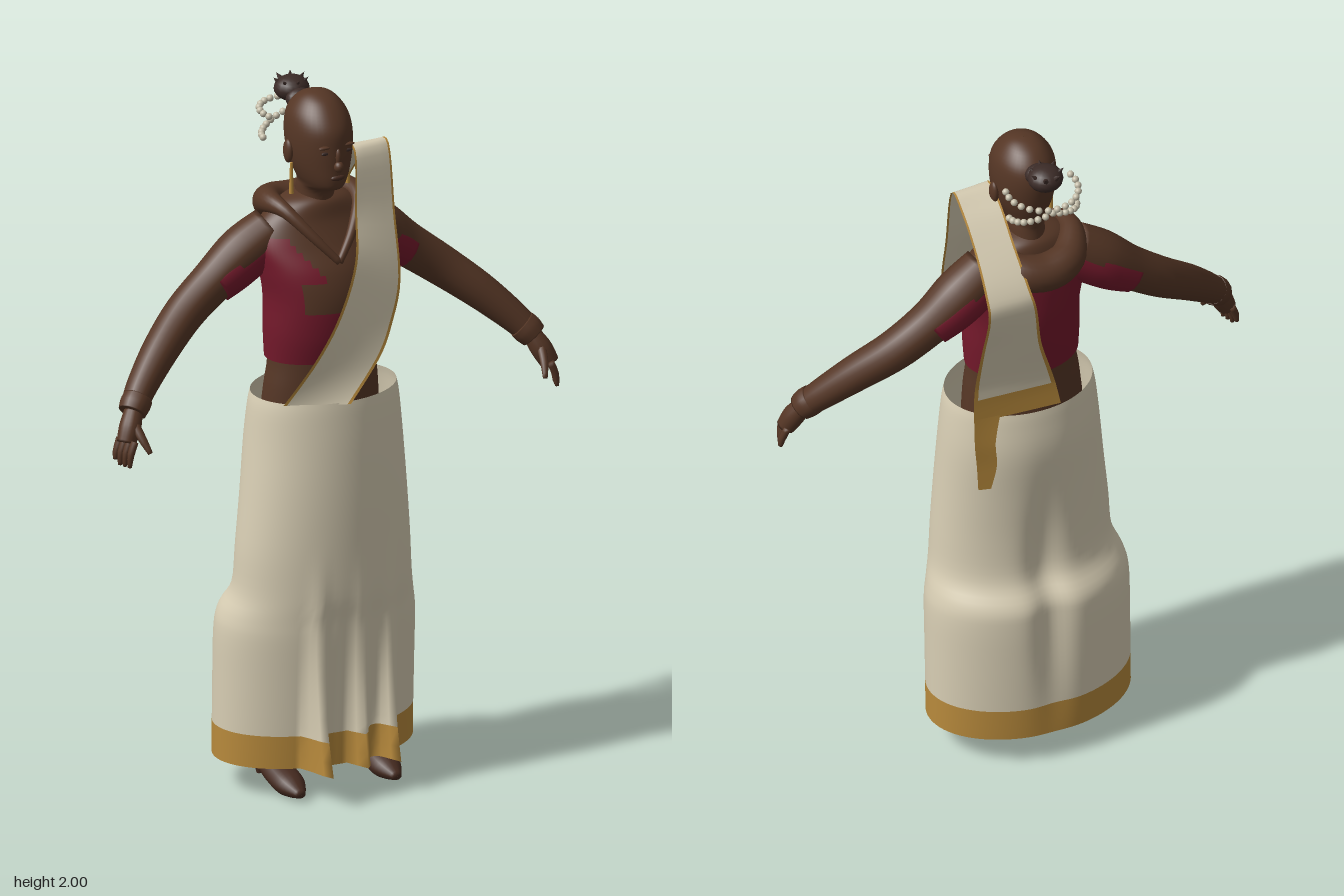
import * as THREE from 'three';

const mat = (name, color, side = THREE.DoubleSide) => {
  const m = new THREE.MeshStandardMaterial({ color, side });
  m.name = name;
  return m;
};

// Resample a table of numbers with a spline, k steps per row
function smooth(rows, k) {
  const out = [];
  const at = (i) => rows[Math.max(0, Math.min(rows.length - 1, i))];
  for (let i = 0; i < rows.length - 1; i++) {
    for (let s = 0; s < k; s++) {
      const t = s / k;
      out.push(rows[i].map((b, c) => {
        const a = at(i - 1)[c], d = at(i + 1)[c], e = at(i + 2)[c];
        return b + 0.5 * t * (d - a + t * (2 * a - 5 * b + 4 * d - e + t * (3 * (b - d) + e - a)));
      }));
    }
  }
  out.push(rows[rows.length - 1]);
  return out;
}

// Surface through a grid of points; pick(x, y, z) chooses a material index per quad
function grid(pts, pick) {
  const w = pts[0].length, idx = [[], []];
  for (let i = 0; i < pts.length - 1; i++) for (let j = 0; j < w - 1; j++) {
    const a = i * w + j, p = pts[i][j], q = pts[i + 1][j + 1];
    const g = pick && pick((p[0] + q[0]) / 2, (p[1] + q[1]) / 2, (p[2] + q[2]) / 2) ? 1 : 0;
    idx[g].push(a, a + 1, a + w + 1, a, a + w + 1, a + w);
  }
  const geo = new THREE.BufferGeometry();
  geo.setAttribute('position', new THREE.Float32BufferAttribute(pts.flat(2), 3));
  geo.setIndex([...idx[0], ...idx[1]]);
  if (pick) {
    geo.addGroup(0, idx[0].length, 0);
    geo.addGroup(idx[0].length, idx[1].length, 1);
  }
  geo.computeVertexNormals();
  // Share the normal across the seam of closed rings
  const n = geo.attributes.normal;
  for (let i = 0; i < pts.length; i++) {
    const a = i * w, b = a + w - 1, p = pts[i][0], q = pts[i][w - 1];
    if (Math.hypot(p[0] - q[0], p[1] - q[1], p[2] - q[2]) > 1e-6) continue;
    const v = new THREE.Vector3(n.getX(a) + n.getX(b), n.getY(a) + n.getY(b), n.getZ(a) + n.getZ(b)).normalize();
    n.setXYZ(a, v.x, v.y, v.z);
    n.setXYZ(b, v.x, v.y, v.z);
  }
  return geo;
}

// Horizontal elliptical sections: [y, centre x, half width, front z, back z]
function loft(rows, n = 40, bend = (p) => p, pick) {
  return grid(rows.map(([y, cx, rx, zf, zb]) => Array.from({ length: n + 1 }, (_, j) => {
    const a = (j % n) / n * Math.PI * 2;
    return bend([cx + rx * Math.sin(a), y, (zf + zb) / 2 + (zf - zb) / 2 * Math.cos(a)]);
  })), pick);
}

// Round limb along a path of [x, y, z, radius]
function limb(path, n = 16, k = 5) {
  const rows = smooth(path, k), last = rows[rows.length - 1];
  rows.unshift([...rows[0].slice(0, 3), 0.0005]);
  rows.push([...last.slice(0, 3), 0.0005]);
  const curve = new THREE.CatmullRomCurve3(path.map((p) => new THREE.Vector3(p[0], p[1], p[2])));
  const f = curve.computeFrenetFrames(rows.length - 1);
  return grid(rows.map((r, i) => Array.from({ length: n + 1 }, (_, j) => {
    const a = (j % n) / n * Math.PI * 2, N = f.normals[i], B = f.binormals[i];
    const c = Math.cos(a) * r[3], s = Math.sin(a) * r[3];
    return [r[0] + N.x * c + B.x * s, r[1] + N.y * c + B.y * s, r[2] + N.z * c + B.z * s];
  })));
}

// Strip of cloth between two edges: [left xyz, right xyz], from width fraction u0 to u1
function ribbon(rows, u0, u1) {
  return grid(rows.map((r) => [0, 0.25, 0.5, 0.75, 1].map((t) => {
    const u = u0 + (u1 - u0) * t;
    return [0, 1, 2].map((c) => r[c] + (r[c + 3] - r[c]) * u);
  })));
}

export function createModel() {
  const model = new THREE.Group();
  const skin = mat('brown skin', 0x553625), cream = mat('cream cloth', 0xd8ceb4), gold = mat('gold border', 0xb88a3c);
  const crimson = mat('crimson blouse', 0x74192b), hair = mat('dark hair', 0x3b2b27), shoe = mat('shoe brown', 0x462b20);
  const flower = mat('pale flowers', 0xc4bda8);
  const add = (name, geo, m, parent = model) => {
    const mesh = new THREE.Mesh(geo, m);
    mesh.name = name;
    parent.add(mesh);
    return mesh;
  };
  const blob = (name, m, pos, scale, parent = model) => {
    const mesh = add(name, new THREE.SphereGeometry(1, 16, 12), m, parent);
    mesh.position.set(...pos);
    mesh.scale.set(...scale);
    return mesh;
  };

  // Skirt with pointed front pleats, a flared back and a gold hem
  const pleats = [[-0.1, 0.115], [0.03, 0.08], [0.13, 0.09]];
  const drape = ([x, y, z]) => {
    const t = Math.max(0, Math.min(1, (0.75 - y) / 0.67));
    if (z > 0) for (const [px, h] of pleats) z += h * t * t * Math.max(0, 1 - Math.abs(x - px) / 0.035);
    else z += 0.03 * Math.exp(-((x / 0.05) ** 2)) * Math.exp(-(((y - 0.5) / 0.3) ** 2));
    return [x, y, z];
  };
  const hem = [0.175, -0.005, 0.296, 0.152, -0.244];
  add('skirtHem', loft([[0.08, -0.005, 0.296, 0.15, -0.245], [0.12, -0.005, 0.296, 0.151, -0.245], hem], 120, drape), gold);
  add('skirt', loft(smooth([hem, [0.32, -0.005, 0.296, 0.16, -0.243], [0.45, -0.005, 0.295, 0.168, -0.24],
    [0.51, -0.004, 0.285, 0.172, -0.23], [0.58, 0, 0.264, 0.178, -0.186], [0.7, 0, 0.256, 0.178, -0.175],
    [0.85, 0.003, 0.243, 0.175, -0.177], [1.0, 0.006, 0.23, 0.168, -0.183], [1.1, 0.006, 0.22, 0.16, -0.172],
    [1.14, 0.006, 0.212, 0.155, -0.165]], 4), 120, drape), cream);

  // Bare waist and blouse with open neckline
  add('waist', loft(smooth([[1.08, 0, 0.175, 0.1, -0.13], [1.16, 0, 0.168, 0.1, -0.12], [1.23, 0, 0.158, 0.1, -0.115],
    [1.32, 0, 0.155, 0.1, -0.12]], 4)), skin);
  const bare = (x, y, z) => y > 1.6 || (z > 0 && (y > 1.43 + Math.abs(x) * 1.3 || (y > 1.39 && y < 1.48 && x > -0.11 && x < 0.03)));
  add('blouse', loft(smooth([[1.24, 0, 0.164, 0.105, -0.128], [1.32, 0, 0.167, 0.122, -0.14], [1.42, 0, 0.165, 0.128, -0.15],
    [1.5, 0, 0.178, 0.11, -0.15], [1.57, 0, 0.19, 0.07, -0.145], [1.63, 0, 0.165, 0.04, -0.135],
    [1.68, 0, 0.1, 0.025, -0.12], [1.7, 0, 0.04, 0, -0.09]], 7), 72, undefined, bare), [crimson, skin]);

  // Head and neck
  add('head', loft(smooth([[1.56, 0, 0.065, 0.02, -0.12], [1.66, 0, 0.053, 0.018, -0.112], [1.715, 0, 0.05, 0.03, -0.105],
    [1.735, 0, 0.052, 0.08, -0.107], [1.76, 0, 0.064, 0.092, -0.112], [1.8, 0, 0.078, 0.094, -0.125],
    [1.85, 0, 0.087, 0.094, -0.135], [1.9, 0, 0.087, 0.09, -0.137], [1.94, 0, 0.078, 0.068, -0.125],
    [1.973, 0, 0.055, 0.035, -0.095], [1.99, 0, 0.03, 0, -0.06], [1.995, 0, 0.001, -0.029, -0.031]], 4)), skin);
  blob('nose', skin, [0, 1.808, 0.096], [0.014, 0.016, 0.015]);
  blob('noseBridge', skin, [0, 1.835, 0.09], [0.009, 0.026, 0.012]);
  blob('lips', shoe, [0, 1.774, 0.089], [0.022, 0.009, 0.009]);
  for (const s of [-1, 1]) {
    blob('eye', hair, [s * 0.035, 1.848, 0.084], [0.013, 0.005, 0.004]);
    blob('brow', skin, [s * 0.036, 1.865, 0.083], [0.02, 0.005, 0.008]);
    blob('ear', skin, [s * 0.09, 1.83, -0.03], [0.012, 0.034, 0.02]);
    add('earring', new THREE.CylinderGeometry(0.004, 0.007, 0.09, 8), gold).position.set(s * 0.088, 1.755, -0.015);
  }

  // Hair bun with spiky tufts and a double garland
  blob('bun', hair, [0, 1.952, -0.175], [0.05, 0.036, 0.048]);
  blob('bunBase', hair, [0, 1.935, -0.13], [0.04, 0.03, 0.03]);
  for (let i = 0; i < 7; i++) {
    const a = i / 7 * Math.PI * 2;
    const tuft = add('hairTuft', new THREE.ConeGeometry(0.016, 0.04, 6), hair);
    tuft.position.set(Math.sin(a) * 0.035, 1.97, -0.18 + Math.cos(a) * 0.035);
    tuft.rotation.set(Math.cos(a) * 0.8, 0, -Math.sin(a) * 0.8);
  }
  for (let r = 0; r < 2; r++) for (let i = 0; i < 15; i++) {
    const a = (i / 14 - 0.5) * (r ? 3.0 : 3.6);
    blob('flower', flower, [Math.sin(a) * 0.1, 1.9 - r * 0.035 * (1 + Math.abs(Math.sin(a))), -0.15 - Math.cos(a) * (0.105 - r * 0.03)],
      [0.01, 0.01, 0.01]);
  }

  // Cowl lying around the neck, thick at the back
  const half = [[0, 1.53, 0.1, 0.01], [0.06, 1.6, 0.062, 0.014], [0.112, 1.665, 0, 0.02], [0.12, 1.67, -0.08, 0.034], [0.075, 1.64, -0.155, 0.05]];
  add('cowl', limb([...half, [0, 1.625, -0.175, 0.054], ...half.map(([x, y, z, r]) => [-x, y, z, r]).reverse()], 20), skin);

  // Arms, sleeves and hands
  for (const s of [-1, 1]) {
    const arm = new THREE.Group();
    arm.name = s > 0 ? 'leftArm' : 'rightArm';
    model.add(arm);
    const side = (pts) => pts.map(([x, y, z, r]) => [s * x, y, z, r]);
    add('arm', limb(side([[0.13, 1.6, -0.06, 0.066], [0.21, 1.545, -0.07, 0.072], [0.3, 1.475, -0.072, 0.062], [0.4, 1.4, -0.058, 0.057],
      [0.5, 1.32, -0.015, 0.051], [0.58, 1.245, 0.028, 0.043], [0.62, 1.2, 0.055, 0.037]])), skin, arm);
    add('sleeve', limb(side([[0.13, 1.575, -0.062, 0.07], [0.2, 1.535, -0.071, 0.074], [0.25, 1.5, -0.073, 0.071], [0.3, 1.468, -0.073, 0.064]])), crimson, arm);
    add('cuff', limb(side([[0.6, 1.222, 0.044, 0.042], [0.614, 1.207, 0.053, 0.043], [0.628, 1.19, 0.062, 0.039]])), skin, arm);
    add('palm', limb(side([[0.622, 1.195, 0.06, 0.026], [0.643, 1.155, 0.078, 0.031], [0.662, 1.115, 0.09, 0.027]])), skin, arm);
    for (let i = 0; i < 4; i++) {
      const z = 0.066 + i * 0.017, x = 0.668 - i * 0.006;
      add('finger', limb(side([[x, 1.125, z, 0.011], [x + 0.014, 1.09, z + 0.004, 0.01],
        [x + 0.018, 1.055 + (i === 0 ? 0.012 : 0), z + 0.005, 0.006]]), 8, 3), skin, arm);
    }
    add('thumb', limb(side([[0.636, 1.165, 0.09, 0.014], [0.628, 1.13, 0.123, 0.012], [0.617, 1.095, 0.148, 0.007]]), 8, 3), skin, arm);
  }

  // Legs and heeled shoes
  for (const s of [-1, 1]) {
    const x = s * 0.15;
    add('leg', limb([[s * 0.1, 0.9, -0.01, 0.085], [s * 0.12, 0.5, -0.02, 0.062], [x, 0.3, -0.05, 0.055], [x, 0.1, -0.06, 0.034], [x, 0.06, -0.05, 0.034]]), skin);
    const foot = add('shoe', limb([[x, 0.072, -0.085, 0.03], [x, 0.066, -0.03, 0.036], [x, 0.042, 0.04, 0.04], [x, 0.024, 0.1, 0.036], [x, 0.014, 0.155, 0.012]]), shoe);
    foot.geometry.translate(-x, 0, 0);
    foot.position.x = x;
    foot.scale.set(1.15, 0.85, 1);
    add('heel', new THREE.CylinderGeometry(0.022, 0.008, 0.07, 10), shoe).position.set(x, 0.035, -0.085);
  }

  // Sash from the right hip over the left shoulder and down the back
  const rows = smooth([[-0.175, 1.14, 0.1, 0, 1.135, 0.165], [-0.1, 1.27, 0.145, 0.095, 1.25, 0.155], [-0.03, 1.395, 0.155, 0.145, 1.335, 0.135],
    [0.035, 1.53, 0.125, 0.188, 1.45, 0.105], [0.065, 1.65, 0.07, 0.195, 1.63, 0.06], [0.08, 1.82, 0.035, 0.195, 1.82, 0.025],
    [0.08, 1.805, -0.05, 0.195, 1.8, -0.05], [0.08, 1.73, -0.14, 0.195, 1.72, -0.14], [0.07, 1.63, -0.225, 0.2, 1.63, -0.22],
    [0.055, 1.56, -0.242, 0.2, 1.56, -0.24], [0.03, 1.42, -0.215, 0.203, 1.42, -0.2], [-0.01, 1.3, -0.185, 0.207, 1.3, -0.17],
    [-0.03, 1.235, -0.175, 0.21, 1.235, -0.165], [-0.045, 1.16, -0.178, 0.21, 1.16, -0.165]], 5);
  const end = rows.length - 6, body = rows.slice(0, end + 1);
  add('sash', ribbon(body, 0.05, 0.95), cream);
  add('sashInnerBorder', ribbon(body, 0, 0.05), gold);
  add('sashOuterBorder', ribbon(body, 0.95, 1), gold);
  add('sashEnd', ribbon(rows.slice(end), 0, 1), gold);
  add('sashTail', ribbon(smooth([[0.135, 1.17, -0.172, 0.21, 1.17, -0.166], [0.15, 1.08, -0.176, 0.208, 1.08, -0.166],
    [0.145, 1.0, -0.174, 0.2, 1.0, -0.162], [0.16, 0.92, -0.168, 0.195, 0.92, -0.16]], 4), 0, 1), gold);

  return model;
}
